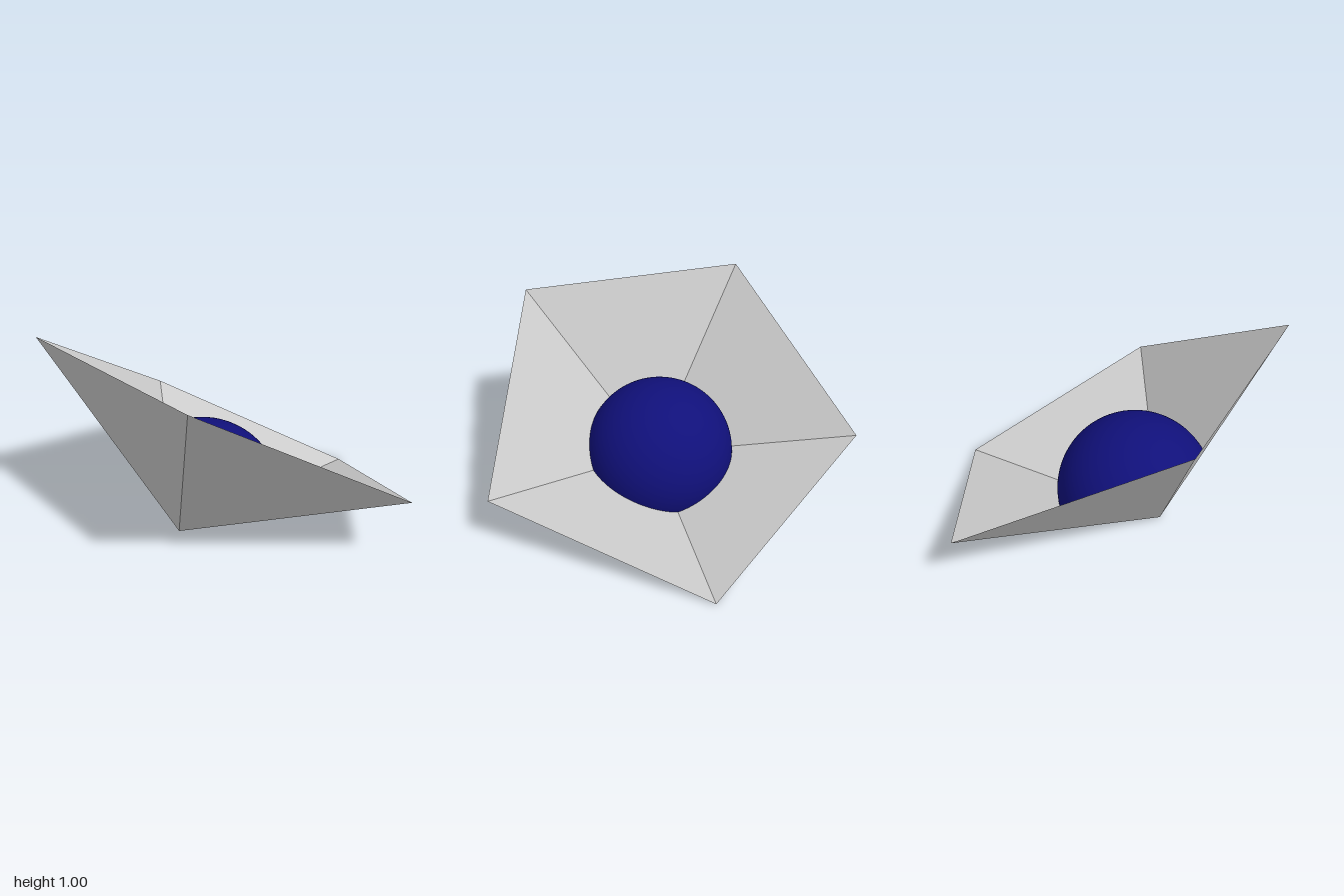
import * as THREE from 'three';

const V = (x, y, z) => new THREE.Vector3(x, y, z);

// Tilted regular pentagon rim and the low apex of the bowl
const SIDES = 5, RADIUS = 1.0515;
const apex = V(-0.427, 0, 0);
const centre = V(-0.086, 0.553, 0);
const slope = V(0.851, -0.5256, 0);
const rim = Array.from({ length: SIDES }, (_, i) => {
  const a = (i / SIDES) * Math.PI * 2;
  return centre.clone().addScaledVector(slope, RADIUS * Math.cos(a)).add(V(0, 0, RADIUS * Math.sin(a)));
});

// Ball nested in the bowl, trimmed by its walls
const ballCentre = V(-0.269, 0.15, 0), BALL_RADIUS = 0.422;

function bufferGeometry(points, normals) {
  const g = new THREE.BufferGeometry().setFromPoints(points);
  if (normals) g.setAttribute('normal', new THREE.Float32BufferAttribute(normals.flatMap(n => n.toArray()), 3));
  else g.computeVertexNormals();
  return g;
}

// Point where the ray from the apex toward a target leaves the ball
function onBall(target) {
  const d = target.clone().sub(apex).normalize();
  const o = apex.clone().sub(ballCentre);
  const b = o.dot(d);
  const s = -b + Math.sqrt(b * b - o.lengthSq() + BALL_RADIUS ** 2);
  return apex.clone().addScaledVector(d, s);
}

// Five flat triangular walls meeting at the apex
function makeBowl() {
  const points = rim.flatMap((p, i) => [apex, p, rim[(i + 1) % SIDES]]);
  const material = new THREE.MeshStandardMaterial({ color: 0xcccccc, flatShading: true, side: THREE.DoubleSide });
  const mesh = new THREE.Mesh(bufferGeometry(points), material);
  mesh.name = 'bowlWalls';
  return mesh;
}

// Visible cap of the ball: each wall's wedge is a triangular grid cast onto the ball
function makeBall(n = 28) {
  const points = [];
  for (let i = 0; i < SIDES; i++) {
    const a = rim[(i + 1) % SIDES], b = rim[i];
    const at = (r, c) => onBall(centre.clone()
      .addScaledVector(a.clone().sub(centre), (r - c) / n)
      .addScaledVector(b.clone().sub(centre), c / n));
    for (let r = 0; r < n; r++) {
      for (let c = 0; c <= r; c++) {
        points.push(at(r, c), at(r + 1, c), at(r + 1, c + 1));
        if (c < r) points.push(at(r, c), at(r + 1, c + 1), at(r, c + 1));
      }
    }
  }
  const normals = points.map(p => p.clone().sub(ballCentre).normalize());
  const material = new THREE.MeshStandardMaterial({ color: 0x10107a });
  const mesh = new THREE.Mesh(bufferGeometry(points, normals), material);
  mesh.name = 'ball';
  return mesh;
}

export function createModel() {
  const group = new THREE.Group();
  group.name = 'pentagonalBowlWithBall';
  group.add(makeBowl(), makeBall());
  return group;
}
